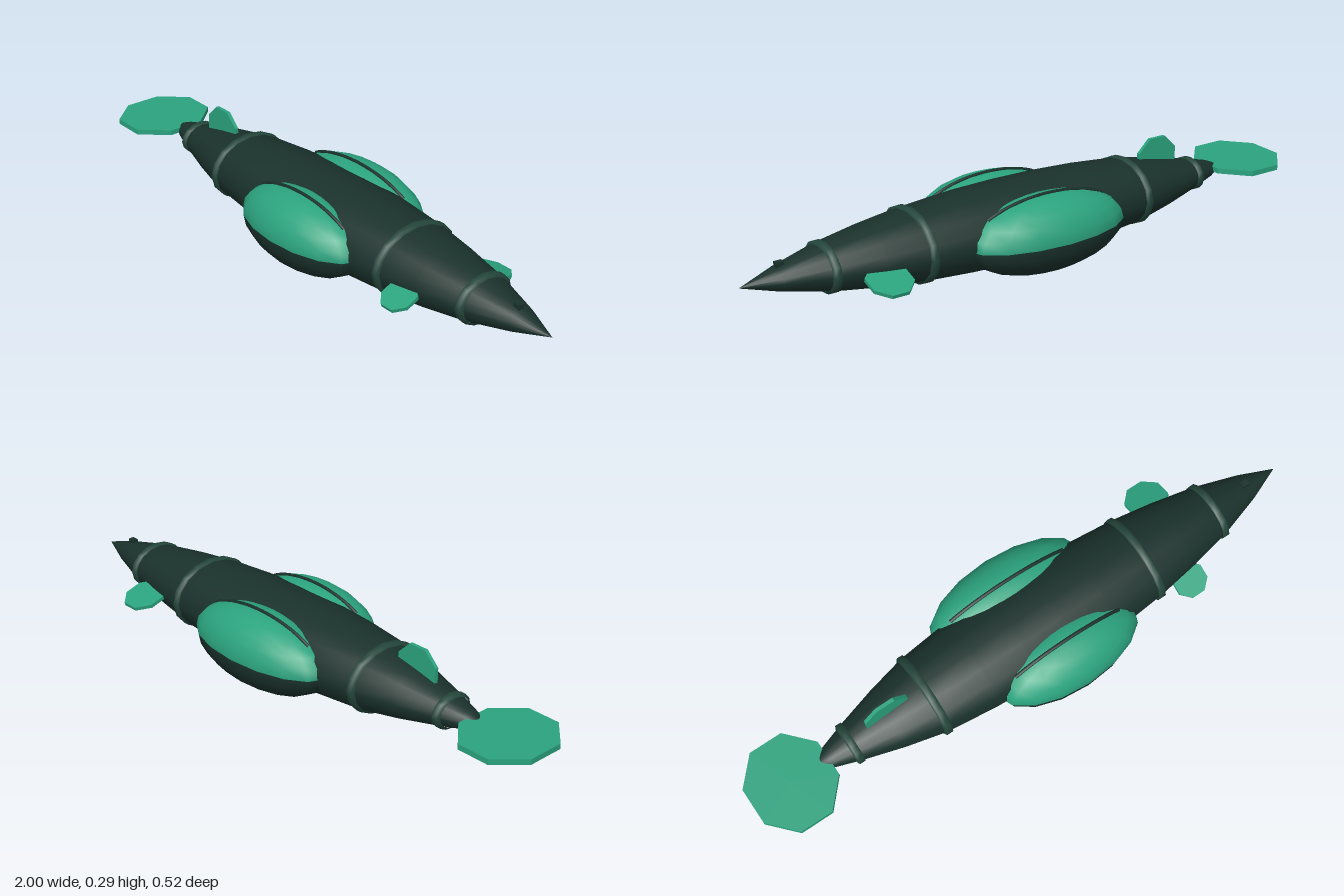
import * as THREE from 'three';

const DARK = 0x1a312b, BAND = 0x24463b, GREEN = 0x2ba37e;
const MID_Y = 0.134, FLAT = 0.75; // hull axis height, height-to-width ratio

const material = (color, extra = {}) => new THREE.MeshStandardMaterial({ color, ...extra });

function add(parent, name, geometry, mat) {
  const mesh = new THREE.Mesh(geometry, mat);
  mesh.name = name;
  parent.add(mesh);
  return mesh;
}

// Turns [x, radius] stations into a flattened body of revolution along x
function spindle(stations) {
  const points = stations.map(([x, r]) => new THREE.Vector2(r, x));
  const g = new THREE.LatheGeometry(points, 16);
  g.rotateZ(-Math.PI / 2);
  g.scale(1, FLAT, 1);
  return g.translate(0, MID_Y, 0);
}

// Flat octagonal plate, lying in the xz plane
function plate(rx, rz, thickness) {
  const g = new THREE.CylinderGeometry(1, 1, thickness, 8);
  g.rotateY(Math.PI / 8);
  const k = 1 / Math.cos(Math.PI / 8);
  return g.scale(rx * k, 1, rz * k);
}

export function createModel() {
  const model = new THREE.Group();
  model.name = 'submersible';
  const dark = material(DARK), band = material(BAND);
  const green = material(GREEN), fin = material(GREEN, { flatShading: true });
  const domeMat = material(GREEN, { side: THREE.DoubleSide });
  const bowlMat = material(DARK, { side: THREE.DoubleSide });

  // Hull
  const hull = [
    [-0.78, 0], [-0.765, 0.017], [-0.73, 0.037], [-0.65, 0.065], [-0.51, 0.107],
    [-0.375, 0.14], [-0.2, 0.16], [-0.05, 0.169], [0.1, 0.171], [0.25, 0.167],
    [0.435, 0.15], [0.58, 0.127], [0.73, 0.096], [0.88, 0.049], [1, 0],
  ];
  add(model, 'hull', spindle(hull), dark);

  // Raised bands around the hull
  for (const [x, r] of [[-0.65, 0.065], [-0.375, 0.14], [0.435, 0.15], [0.73, 0.096]]) {
    add(model, 'hullBand', spindle([
      [x - 0.015, r - 0.004], [x - 0.009, r + 0.008], [x + 0.009, r + 0.008], [x + 0.015, r - 0.004],
    ]), band);
  }

  // Side pods: green dome above, dark bowl below, dark ridge along the crown
  for (const [name, x, z, rx, ry, rz] of [
    ['leftPod', 0.075, 0.133, 0.262, 0.122, 0.126],
    ['rightPod', 0.028, -0.133, 0.286, 0.125, 0.129],
  ]) {
    const pod = new THREE.Group();
    pod.name = name;
    pod.position.set(x, 0.127, z);
    const half = (start) => new THREE.SphereGeometry(1, 16, 6, 0, Math.PI * 2, start, Math.PI / 2).scale(rx, ry, rz);
    add(pod, 'podDome', half(0), domeMat);
    add(pod, 'podBowl', half(Math.PI / 2), bowlMat);
    const path = [];
    for (let i = 0; i <= 12; i++) {
      const a = Math.PI * (0.23 + 0.54 * i / 12);
      path.push(new THREE.Vector3(rx * Math.cos(a), ry * Math.sin(a), 0));
    }
    add(pod, 'podRidge', new THREE.TubeGeometry(new THREE.CatmullRomCurve3(path), 24, 0.006, 6), dark);
    model.add(pod);
  }

  // Tail plate
  add(model, 'tailFin', plate(0.135, 0.15, 0.018), fin).position.set(-0.866, 0.141, 0.005);

  // Dorsal fin
  const dorsal = add(model, 'dorsalFin', plate(0.075, 0.074, 0.012), fin);
  dorsal.rotation.x = Math.PI / 2;
  dorsal.position.set(-0.511, 0.214, 0.003);

  // Drooping bow fins
  const leftFin = add(model, 'leftBowFin', plate(0.055, 0.055, 0.012), fin);
  leftFin.rotation.x = 0.42;
  leftFin.position.set(0.545, 0.113, 0.153);
  const rightFin = add(model, 'rightBowFin', plate(0.068, 0.07, 0.012), fin);
  rightFin.rotation.x = -0.3;
  rightFin.position.set(0.597, 0.113, -0.155);

  // Small sensor on the nose
  add(model, 'noseSensor', new THREE.BoxGeometry(0.025, 0.018, 0.02), dark).position.set(0.87, 0.176, 0.003);

  return model;
}
